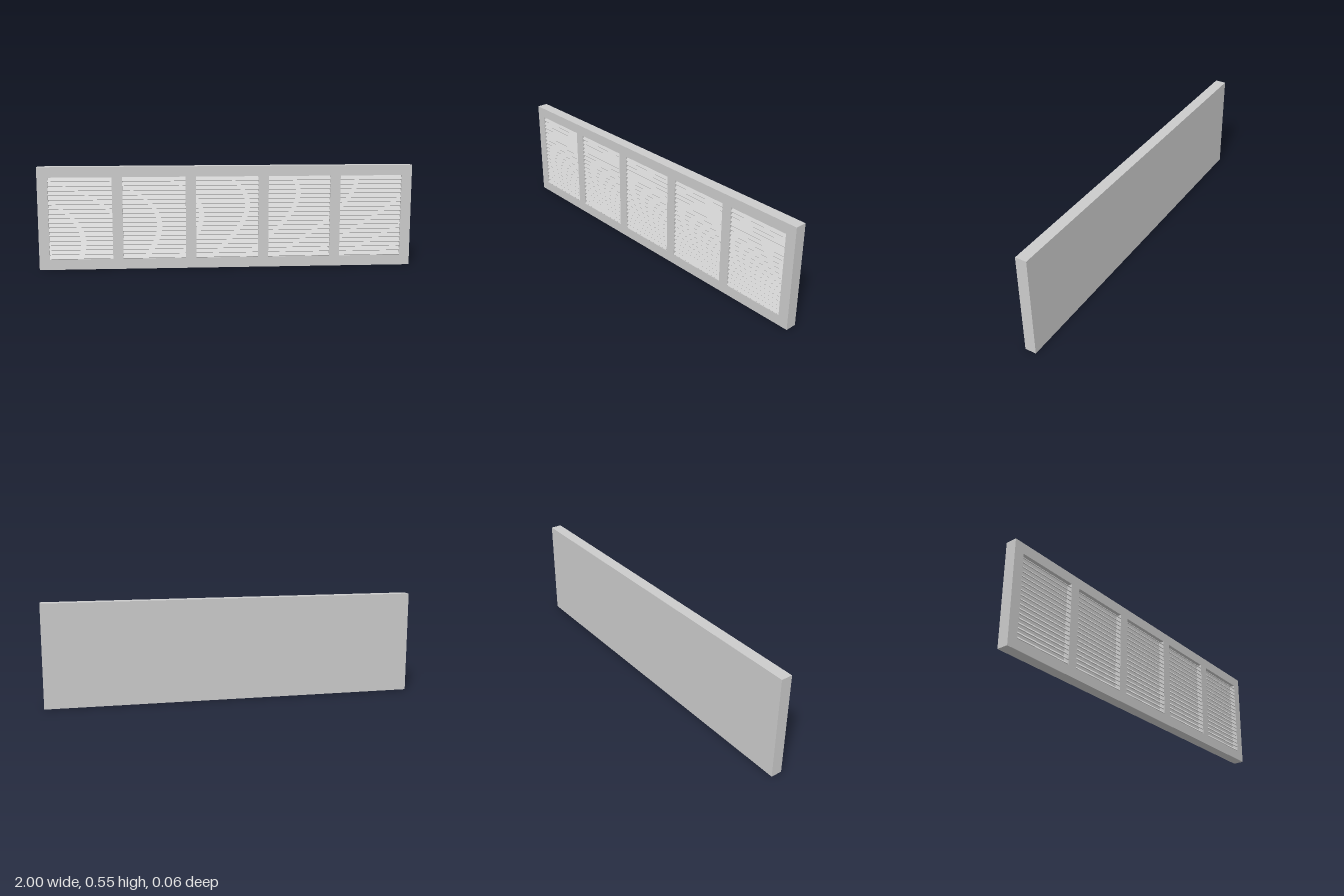
import * as THREE from 'three';

const W = 2, H = 0.548, D = 0.06;          // overall panel
const BAYS = 5, PITCH = 0.389;             // vent openings along x
const VW = 0.334, VH = 0.438;              // opening size
const RECESS = 0.03, SLATS = 18;

const rect = (C, cx, cy, w, h) => new C([
  new THREE.Vector2(cx - w / 2, cy - h / 2), new THREE.Vector2(cx + w / 2, cy - h / 2),
  new THREE.Vector2(cx + w / 2, cy + h / 2), new THREE.Vector2(cx - w / 2, cy + h / 2),
]);

export function createModel() {
  const group = new THREE.Group();
  const mat = new THREE.MeshStandardMaterial({ color: 0xcccccc, flatShading: true });
  const add = (parent, name, geo, x, y, z) => {
    const m = new THREE.Mesh(geo, mat);
    m.name = name;
    m.position.set(x, y, z);
    parent.add(m);
    return m;
  };
  const bayX = i => (i - (BAYS - 1) / 2) * PITCH;

  // solid back half
  add(group, 'backPlate', new THREE.BoxGeometry(W, H, D - RECESS), 0, H / 2, -RECESS / 2);

  // front frame with one opening per bay
  const face = rect(THREE.Shape, 0, H / 2, W, H);
  for (let i = 0; i < BAYS; i++) face.holes.push(rect(THREE.Path, bayX(i), H / 2, VW, VH));
  add(group, 'frontFrame', new THREE.ExtrudeGeometry(face, { depth: RECESS, bevelEnabled: false }), 0, 0, D / 2 - RECESS);

  // louvre slats sloping down towards the front, their lower edges flush with the frame
  const len = 0.029, thick = 0.004, step = VH / SLATS;
  const slatGeo = new THREE.BoxGeometry(VW, thick, len).rotateX(Math.PI / 4);
  const slatZ = D / 2 - (len + thick) * Math.SQRT1_2 / 2;
  for (let i = 0; i < BAYS; i++) {
    const vent = new THREE.Group();
    vent.name = 'louvreVent';
    vent.position.set(bayX(i), H / 2, slatZ);
    for (let j = 0; j < SLATS; j++) add(vent, 'slat', slatGeo, 0, (j + 0.5) * step - VH / 2, 0);
    group.add(vent);
  }
  return group;
}
